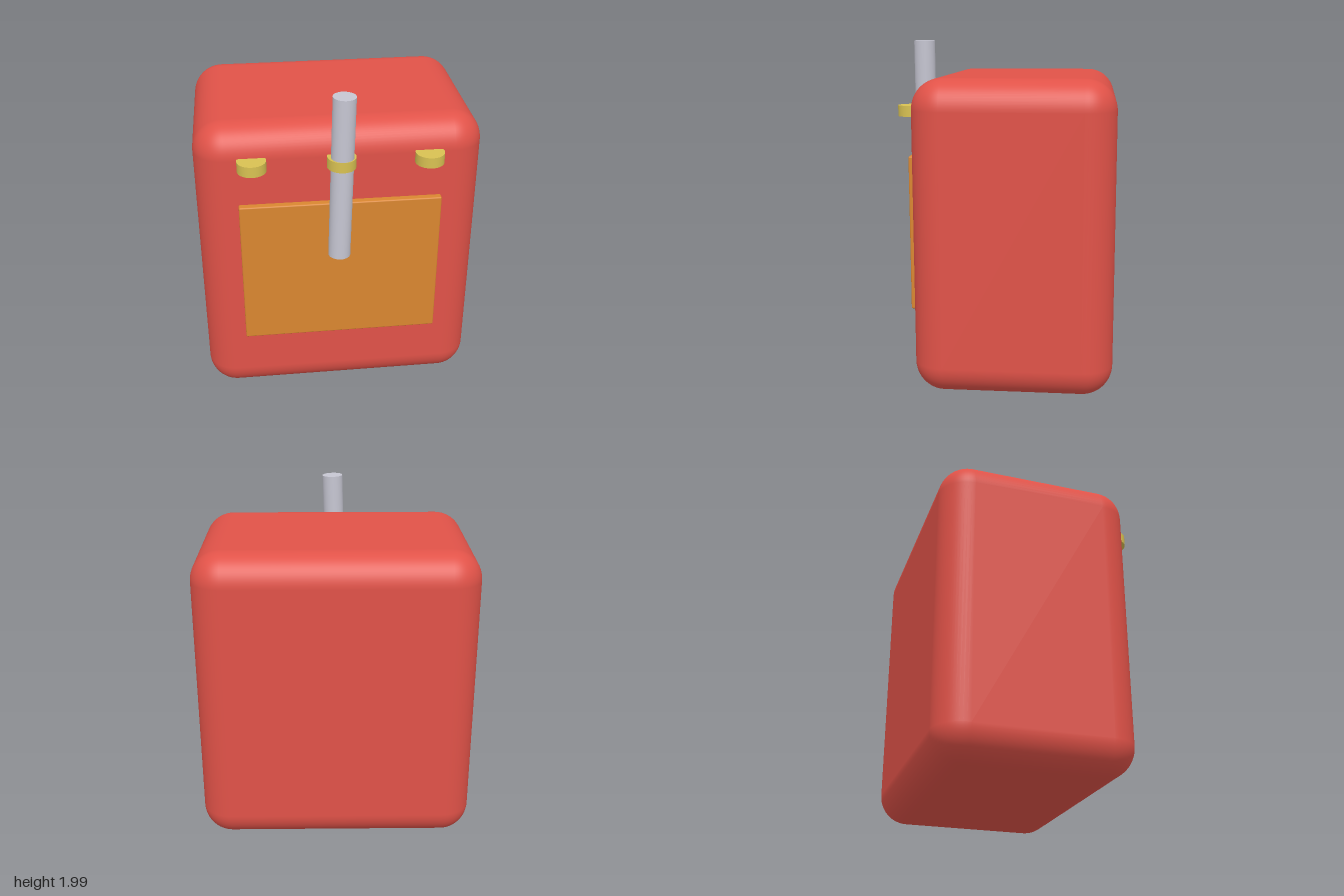
import * as THREE from 'three';
import { RoundedBoxGeometry } from 'three/addons/geometries/RoundedBoxGeometry.js';

function material(name, color) {
  const m = new THREE.MeshStandardMaterial({ color });
  m.name = name;
  return m;
}

export function createModel() {
  const group = new THREE.Group();
  const red = material('red', 0xe05248);
  const orange = material('orange', 0xd98630);
  const yellow = material('yellow', 0xd8c152);
  const grey = material('grey', 0xc6c6d2);

  const add = (name, geometry, mat, x, y, z) => {
    const mesh = new THREE.Mesh(geometry, mat);
    mesh.name = name;
    mesh.position.set(x, y, z);
    group.add(mesh);
    return mesh;
  };

  // Rounded main body
  add('body', new RoundedBoxGeometry(1.626, 1.796, 1.135, 8, 0.175), red, 0, 0.905, -0.052);

  // Front pocket panel with slightly softened edges
  add('frontPanel', new RoundedBoxGeometry(1.145, 0.9, 0.045, 2, 0.008), orange, -0.003, 0.905, 0.533);

  // Round studs half sunk into the front, and the collar holding the rod
  const stud = new THREE.CylinderGeometry(0.081, 0.081, 0.062, 28);
  add('rightStud', stud, yellow, -0.493, 1.61, 0.541);
  add('leftStud', stud, yellow, 0.488, 1.61, 0.541);
  const collar = add('collar', stud, yellow, -0.002, 1.61, 0.543);
  collar.rotation.z = -0.025;

  // Slightly leaning rod
  const rod = add('rod', new THREE.CylinderGeometry(0.064, 0.064, 0.979, 24), grey, -0.002, 1.509, 0.557);
  rod.rotation.z = -0.025;

  return group;
}
